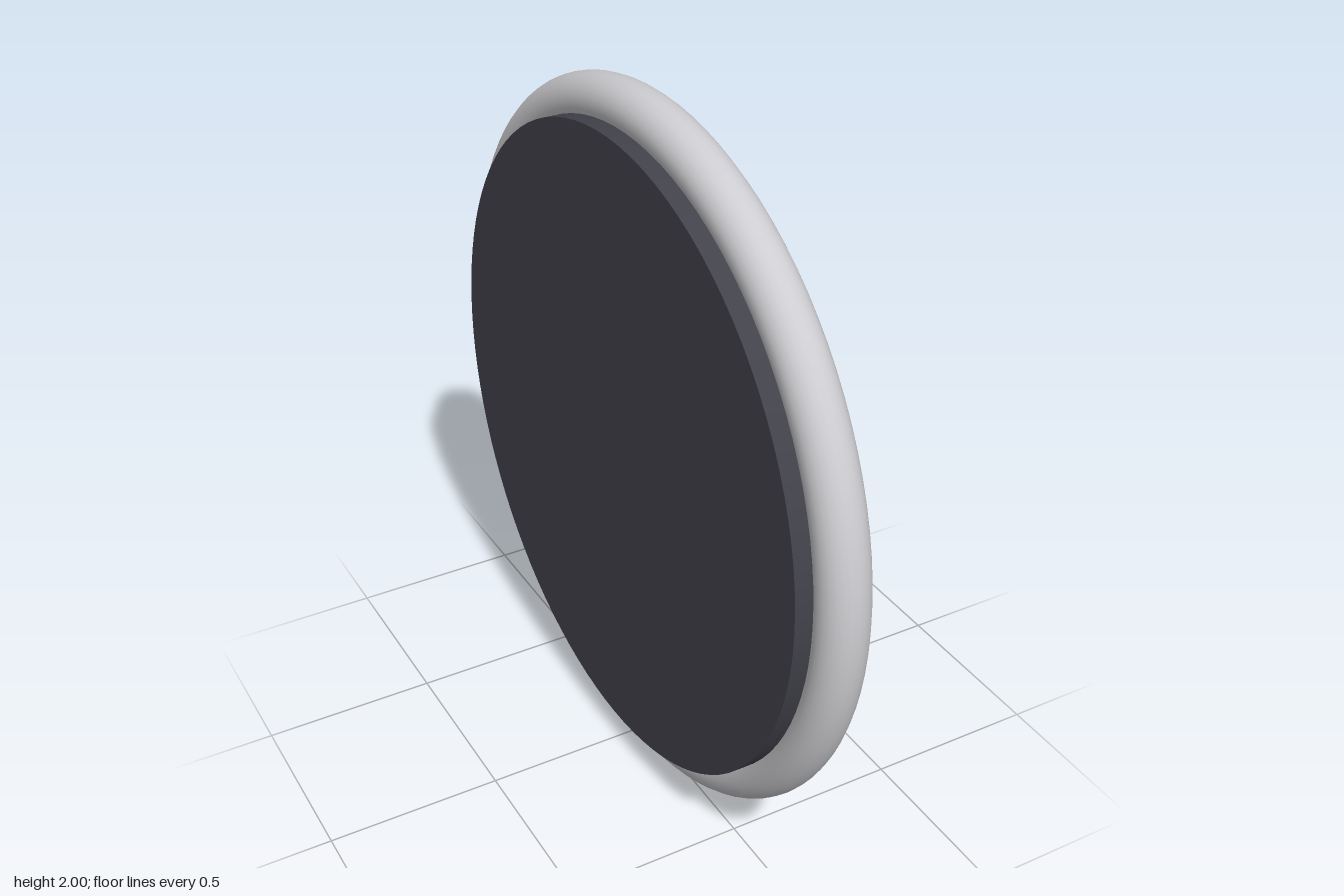
import * as THREE from 'three';

const SPOKES = 10;

export function createModel() {
  const silver = new THREE.MeshStandardMaterial({ color: 0xcdcdd1 });
  silver.name = 'silver';
  const charcoal = new THREE.MeshStandardMaterial({ color: 0x42424b });
  charcoal.name = 'charcoal';
  const red = new THREE.MeshStandardMaterial({ color: 0xcb616c });
  red.name = 'red';

  const wheel = new THREE.Group();
  wheel.name = 'wheel';
  wheel.position.y = 1;

  const add = (name, geometry, material, parent = wheel) => {
    const mesh = new THREE.Mesh(geometry, material);
    mesh.name = name;
    parent.add(mesh);
    return mesh;
  };
  const profile = (pairs) => pairs.map(([r, h]) => new THREE.Vector2(r, h));
  // Turned part whose axis runs along x, from x0 to x1
  const disc = (radius, x0, x1, segments) =>
    new THREE.CylinderGeometry(radius, radius, x1 - x0, segments)
      .rotateZ(-Math.PI / 2)
      .translate((x0 + x1) / 2, 0, 0);

  // Round outer rim
  add('rim', new THREE.TorusGeometry(0.932, 0.068, 24, 96).rotateY(Math.PI / 2), silver);

  // Backing plate behind the spokes
  add('backPlate', disc(0.9, -0.11, -0.02, 96), charcoal);

  // Domed hub with a flat face
  const hubProfile = profile([
    [0.168, -0.04], [0.168, 0.015], [0.164, 0.04], [0.153, 0.062],
    [0.136, 0.077], [0.115, 0.085], [0.08, 0.086], [0, 0.086],
  ]);
  add('hub', new THREE.LatheGeometry(hubProfile, 48).rotateZ(-Math.PI / 2), silver);

  // Coloured centre cap
  add('centreCap', disc(0.08, 0.07, 0.11, 40), red);

  // Ring of straight spokes with softened ends
  const spokeProfile = profile([
    [0, 0.177], [0.022, 0.177], [0.03, 0.181], [0.034, 0.19],
    [0.034, 0.845], [0.03, 0.855], [0.022, 0.86], [0, 0.86],
  ]);
  const spokeGeometry = new THREE.LatheGeometry(spokeProfile, 14);
  for (let i = 0; i < SPOKES; i++) {
    const spoke = add('spoke', spokeGeometry, silver);
    spoke.rotation.x = Math.PI / 2 + (i * 2 * Math.PI) / SPOKES;
  }

  const model = new THREE.Group();
  model.name = 'spokedWheel';
  model.add(wheel);
  return model;
}
